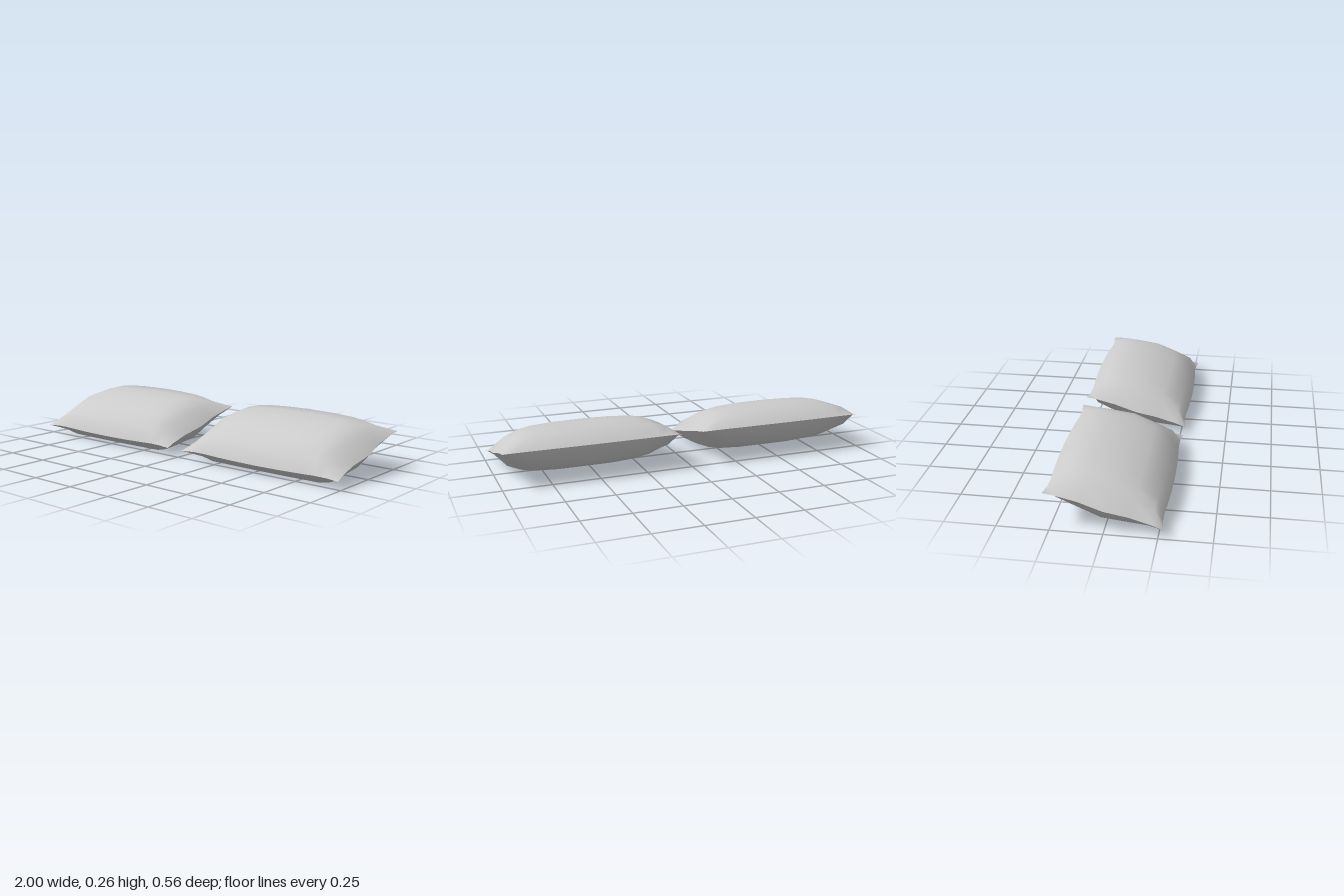
import * as THREE from 'three';

// Grid stations from the middle of the cushion out to its seam
const X = [0, 0.15, 0.27, 0.335, 0.405, 0.475];      // across the width
const X_PUFF = [1, 0.98, 0.92, 0.82, 0.6, 0];        // share of full thickness
const X_PULL = [0.003, 0, -0.006, -0.011, -0.01, 0]; // front/back seam waviness
const V = [0, 0.123, 0.229, 0.2845];                 // front to back
const V_PUFF = [0.127, 0.112, 0.081, 0];             // half thickness
const V_PULL = [0, -0.015, -0.01, 0];                // side seam waviness
const TILT = Math.atan2(0.146, 0.55);
const CENTRE_Y = 0.12;

// One stuffed half of a cushion: side = 1 for the top, -1 for the underside
function cushionHalf(side) {
  const nx = X.length - 1, nv = V.length - 1;
  const geo = new THREE.PlaneGeometry(1, 1, nx * 2, nv * 2);
  const pos = geo.attributes.position;
  const c = Math.cos(TILT), s = Math.sin(TILT);
  let k = 0;
  for (let j = nv; j >= -nv; j--) {
    for (let i = -nx; i <= nx; i++, k++) {
      const a = Math.abs(i), b = Math.abs(j);
      const x = Math.sign(i) * (X[a] + V_PULL[b] * X[a] / X[nx]);
      const v = Math.sign(j) * (V[b] + X_PULL[a] * V[b] / V[nv]);
      const h = side * X_PUFF[a] * V_PUFF[b];
      // Lean the cushion back and press its underside flat on the ground
      pos.setXYZ(k, x, Math.max(0, CENTRE_Y + v * s + h * c), -v * c + h * s);
    }
  }
  if (side < 0) geo.setIndex(Array.from(geo.index.array).reverse());
  geo.computeVertexNormals();
  return geo;
}

export function createModel() {
  const model = new THREE.Group();
  model.name = 'cushions';
  const material = new THREE.MeshStandardMaterial({ color: 0xcccccc });
  const top = cushionHalf(1), bottom = cushionHalf(-1);

  // A pair of identical cushions side by side
  for (const [name, x] of [['leftCushion', 0.525], ['rightCushion', -0.525]]) {
    const cushion = new THREE.Group();
    cushion.name = name;
    cushion.position.x = x;
    for (const [part, geo] of [['cushionTop', top], ['cushionUnderside', bottom]]) {
      const mesh = new THREE.Mesh(geo, material);
      mesh.name = part;
      cushion.add(mesh);
    }
    model.add(cushion);
  }
  return model;
}
